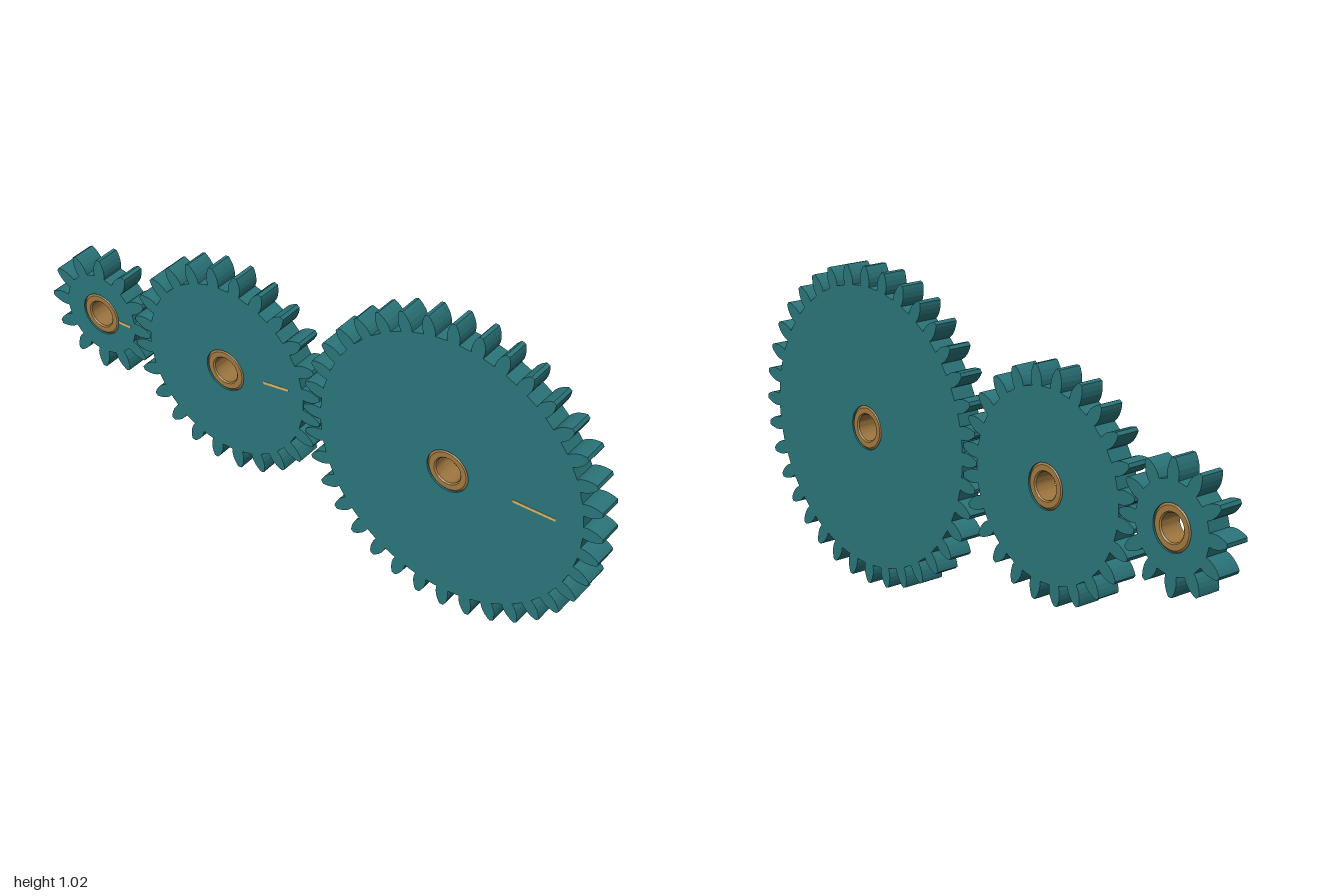
import * as THREE from 'three';
import { toCreasedNormals } from 'three/addons/utils/BufferGeometryUtils.js';

const teal = new THREE.MeshStandardMaterial({ color: 0x2a757a });
const bronze = new THREE.MeshStandardMaterial({ color: 0xa07840 });
const gold = new THREE.MeshStandardMaterial({ color: 0xd8b468 });

const HALF = 0.04; // half thickness of every gear
const MODULE = 0.02583; // pitch diameter per tooth
const BORE = 0.07;

// One tooth flank: [offset from pitch radius, half width]
const FLANK = [
  [-0.0185, 0.0195], [-0.004, 0.0215], [0.01, 0.0205],
  [0.024, 0.0165], [0.035, 0.0115], [0.0435, 0.006],
];

// Toothed disc with a round bore
function gearBody(teeth, pitch) {
  const profile = [...FLANK.map(([d, w]) => [d, -w]), ...FLANK.slice().reverse()];
  const points = [];
  for (let i = 0; i < teeth; i++) {
    const a = (i / teeth) * Math.PI * 2;
    for (const [d, w] of profile) {
      const r = pitch + d;
      const t = a + Math.asin(w / r);
      points.push(new THREE.Vector2(r * Math.cos(t), r * Math.sin(t)));
    }
  }
  const shape = new THREE.Shape(points);
  shape.holes.push(new THREE.Path().absarc(0, 0, BORE, 0, Math.PI * 2, true));
  const geo = new THREE.ExtrudeGeometry(shape, { depth: HALF * 2, bevelEnabled: false, curveSegments: 24 });
  return geo.translate(0, 0, -HALF);
}

// Hollow bushing with chamfered rims
function bushing() {
  const profile = [
    [0.042, -0.036], [0.046, -HALF], [0.063, -HALF], [BORE, -0.034],
    [BORE, 0.034], [0.063, HALF], [0.046, HALF], [0.042, 0.036], [0.042, -0.036],
  ].map(([x, y]) => new THREE.Vector2(x, y));
  const geo = new THREE.LatheGeometry(profile, 48).rotateX(Math.PI / 2);
  return toCreasedNormals(geo, 0.5);
}

function makeGear(name, teeth, x, y, turn) {
  const pitch = (teeth * MODULE) / 2;
  const gear = new THREE.Group();
  gear.name = name;
  const add = (part, geo, mat) => {
    const mesh = new THREE.Mesh(geo, mat);
    mesh.name = part;
    gear.add(mesh);
    return mesh;
  };
  add('toothedDisc', gearBody(teeth, pitch), teal);
  add('bushing', bushing(), bronze);
  // Thin index line on the front face
  const line = add('indexLine', new THREE.BoxGeometry(pitch * 0.3, 0.009, 0.004), gold);
  line.position.set(pitch * 0.62, 0, HALF - 0.001);
  gear.position.set(x, y, 0);
  gear.rotation.z = turn;
  return gear;
}

export function createModel() {
  const model = new THREE.Group();
  model.name = 'gearTrain';
  const y = 0.5085;
  model.add(makeGear('smallGear', 12, -0.8015, y, 0));
  model.add(makeGear('middleGear', 24, -0.3105, y, Math.PI / 24)); // half a tooth, to mesh
  model.add(makeGear('largeGear', 36, 0.4905, y, 0));
  return model;
}
